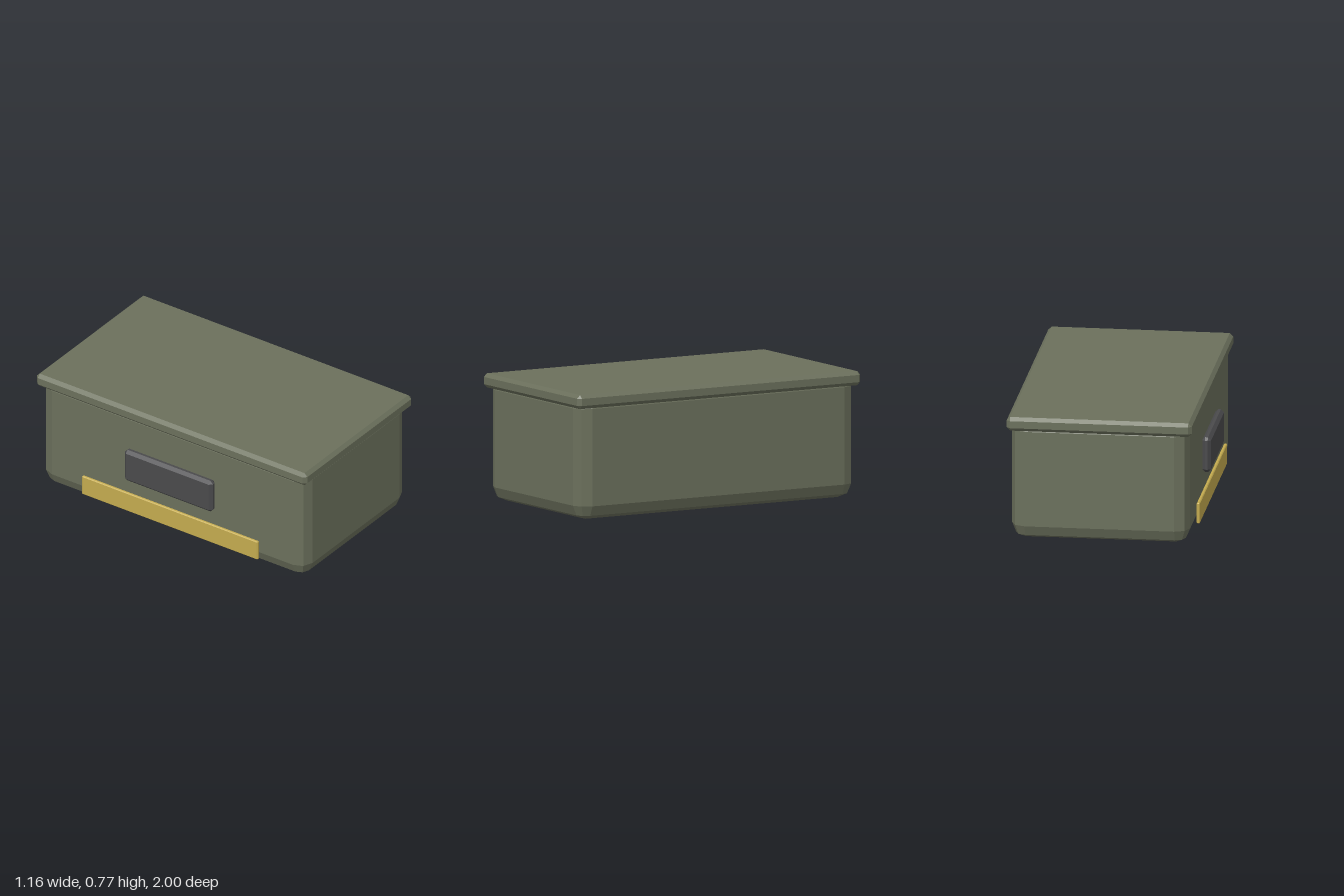
import * as THREE from 'three';
import { ConvexGeometry } from 'three/addons/geometries/ConvexGeometry.js';

const material = (name, color) => {
  const m = new THREE.MeshStandardMaterial({ color });
  m.name = name;
  return m;
};

// Faceted block spanning min..max with its edges rounded by r in seg steps
function roundedBlock(name, min, max, r, seg, mat) {
  const points = [];
  for (const sx of [-1, 1]) for (const sy of [-1, 1]) for (const sz of [-1, 1]) {
    const corner = [sx, sy, sz].map((s, i) => (s > 0 ? max[i] - r : min[i] + r));
    for (let i = 0; i <= seg; i++) {
      const phi = (i / seg) * Math.PI / 2;
      const turns = i === seg ? 0 : seg; // the pole is a single point
      for (let j = 0; j <= turns; j++) {
        const theta = (j / seg) * Math.PI / 2;
        points.push(new THREE.Vector3(
          corner[0] + sx * r * Math.cos(phi) * Math.cos(theta),
          corner[1] + sy * r * Math.sin(phi),
          corner[2] + sz * r * Math.cos(phi) * Math.sin(theta)));
      }
    }
  }
  const mesh = new THREE.Mesh(new ConvexGeometry(points), mat);
  mesh.name = name;
  return mesh;
}

export function createModel() {
  const olive = material('olive', 0x6b705c);
  const charcoal = material('charcoal', 0x4a4a4c);
  const brass = material('brass', 0xc4ab4f);

  const group = new THREE.Group();
  group.name = 'storageBox';
  group.add(
    // Container with softened edges; its top is tucked inside the lid
    roundedBlock('body', [-0.527, 0, -0.977], [0.556, 0.766, 0.977], 0.086, 2, olive),
    // Overhanging chamfered lid
    roundedBlock('lid', [-0.549, 0.686, -1], [0.578, 0.772, 1], 0.021, 1, olive),
    // Grip and label strip on the right side
    roundedBlock('handle', [-0.58, 0.272, -0.325], [-0.525, 0.49, 0.325], 0.019, 1, charcoal),
    roundedBlock('labelStrip', [-0.555, 0.046, -0.65], [-0.535, 0.174, 0.65], 0.005, 1, brass),
  );
  return group;
}
